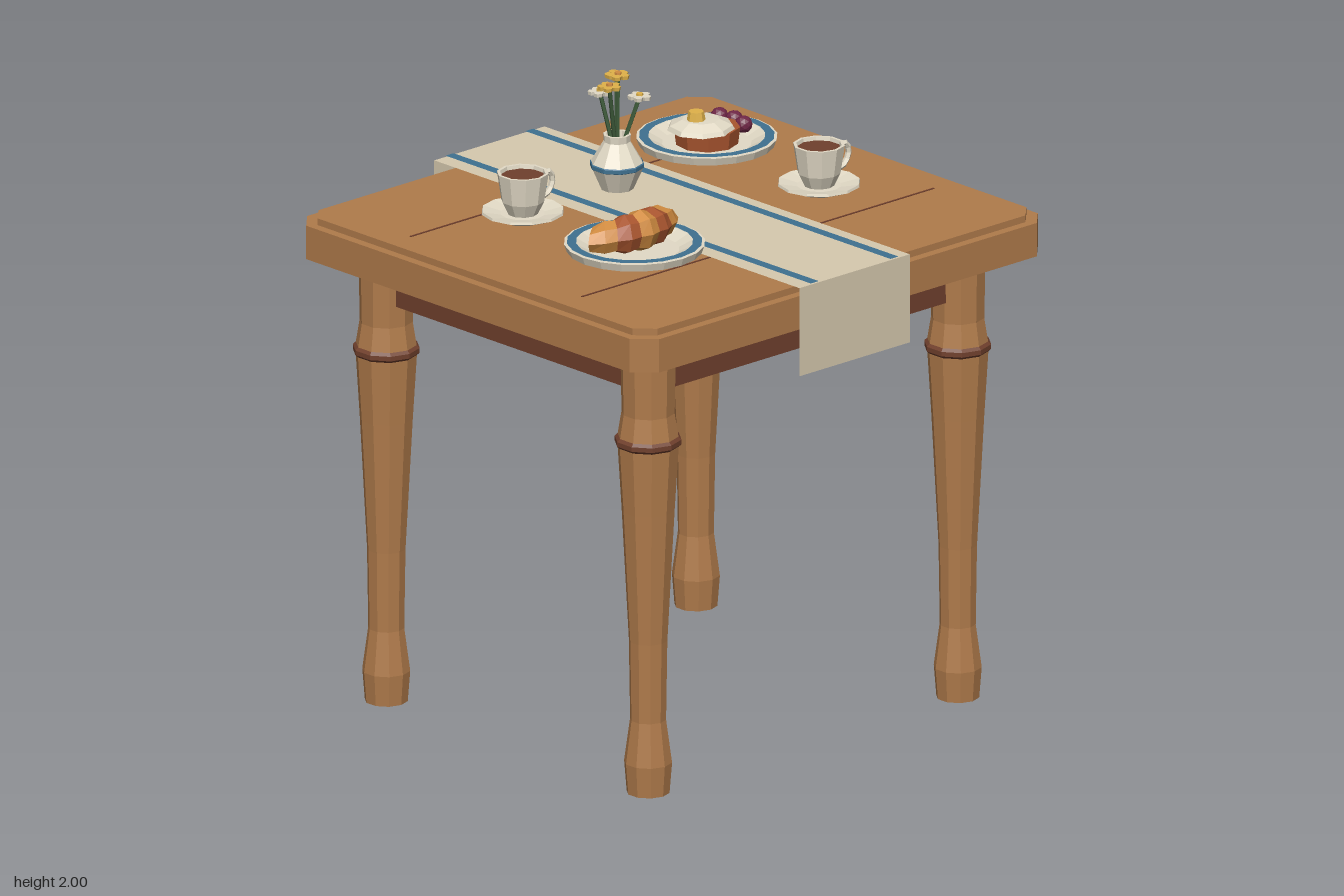
import * as THREE from 'three';

const mat = (name, color, extra = {}) => {
  const m = new THREE.MeshStandardMaterial({ color, ...extra });
  m.name = name;
  return m;
};

export function createModel() {
  const wood = mat('wood', 0xb07b4b);
  const darkWood = mat('darkWood', 0x70402d);
  const linen = mat('linen', 0xd6c9ae, { side: THREE.DoubleSide });
  const ceramic = mat('ceramic', 0xe2dac6);
  const blue = mat('blue', 0x3f7190, { side: THREE.DoubleSide });
  const gold = mat('goldenCrust', 0xd08b40);
  const rust = mat('bakedCrust', 0xa9552f);
  const berryRed = mat('berry', 0x6e2645);
  const green = mat('stemGreen', 0x3f5c3b);
  const yellow = mat('yellow', 0xe0b24a);

  const root = new THREE.Group();
  root.name = 'breakfastTable';

  // Faceted mesh at a position
  const add = (parent, name, geo, material, x = 0, y = 0, z = 0) => {
    const g = geo.index ? geo.toNonIndexed() : geo;
    g.computeVertexNormals();
    const m = new THREE.Mesh(g, material);
    m.name = name;
    m.position.set(x, y, z);
    parent.add(m);
    return m;
  };
  const group = (name, x, y, z) => {
    const g = new THREE.Group();
    g.name = name;
    g.position.set(x, y, z);
    root.add(g);
    return g;
  };
  const lathe = (pts, sides) =>
    new THREE.LatheGeometry(pts.map(([r, y]) => new THREE.Vector2(r, y)), sides);

  // Table top: two slabs with cut corners
  const slab = (w, d, c, h) => {
    const s = new THREE.Shape([[w, d - c], [w - c, d], [c - w, d], [-w, d - c],
      [-w, c - d], [c - w, -d], [w - c, -d], [w, c - d]].map(p => new THREE.Vector2(...p)));
    return new THREE.ExtrudeGeometry(s, { depth: h, bevelEnabled: false }).rotateX(-Math.PI / 2);
  };
  add(root, 'tableTop', slab(0.87, 0.8, 0.065, 0.11), wood, 0, 1.465, 0);
  add(root, 'tableTopInset', slab(0.84, 0.77, 0.055, 0.022), wood, 0, 1.575, 0);
  for (const z of [-0.39, 0.39])
    add(root, 'plankGroove', new THREE.BoxGeometry(1.5, 0.003, 0.006), darkWood, 0, 1.598, z);
  add(root, 'apron', new THREE.BoxGeometry(1.38, 0.15, 1.25), darkWood, 0, 1.395, 0);

  // Turned legs with a dark collar
  const legProfile = [[0, 0], [0.068, 0], [0.076, 0.1], [0.057, 0.24], [0.061, 0.5],
    [0.084, 0.93], [0.097, 1.14], [0.097, 1.17], [0.084, 1.25], [0.088, 1.45], [0, 1.45]];
  const collarProfile = [[0.09, 1.135], [0.106, 1.15], [0.106, 1.165], [0.09, 1.18]];
  for (const x of [-0.66, 0.66]) for (const z of [-0.595, 0.595]) {
    const leg = group('leg', x, 0, z);
    add(leg, 'legPost', lathe(legProfile, 10), wood);
    add(leg, 'legCollar', lathe(collarProfile, 10), darkWood);
  }

  // Table runner with hanging ends and two stripes
  const flat = (w, d) => new THREE.PlaneGeometry(w, d).rotateX(-Math.PI / 2);
  add(root, 'runner', flat(0.47, 1.66), linen, 0, 1.615, 0);
  for (const s of [-1, 1]) {
    const drop = new THREE.PlaneGeometry(0.47, 0.29);
    if (s < 0) drop.rotateY(Math.PI);
    add(root, 'runnerDrop', drop, linen, 0, 1.47, s * 0.83);
    add(root, 'runnerStripe', flat(0.034, 1.66), blue, s * 0.17, 1.619, 0);
  }

  // Plates with a blue rim
  const plate = (x, z) => {
    const p = group('plate', x, 1.625, z);
    add(p, 'plateDish', lathe([[0, 0], [0.13, 0], [0.212, 0.025], [0.221, 0.05],
      [0.183, 0.05], [0.14, 0.028], [0, 0.028]], 20), ceramic);
    add(p, 'plateRim', new THREE.RingGeometry(0.183, 0.212, 20).rotateX(-Math.PI / 2), blue, 0, 0.053, 0);
    return p;
  };

  // Croissant: bulging bands along a curved path
  const croissant = plate(-0.427, 0.285);
  for (let i = 0; i < 5; i++) {
    const g = new THREE.CylinderGeometry(1, 1, 1, 8, 2);
    const p = g.attributes.position;
    for (let k = 0; k < p.count; k++) {
      const t = p.getY(k);
      const u = (i - 2 + t) / 2.5;
      const bulge = 1 - 0.14 * Math.abs(t) * 2;
      const tilt = p.getZ(k) * u * 0.05;
      p.setXYZ(k, u * 0.142 + tilt,
        0.095 - 0.012 * u * u + p.getX(k) * (0.068 - 0.022 * u * u) * bulge,
        0.025 - 0.065 * u * u + p.getZ(k) * (0.062 - 0.022 * u * u) * bulge);
    }
    // the axis swap above mirrors the faces, so restore their order
    const ix = g.index;
    for (let k = 0; k < ix.count; k += 3) {
      const a = ix.getX(k);
      ix.setX(k, ix.getX(k + 1));
      ix.setX(k + 1, a);
    }
    add(croissant, 'croissantBand', g, i % 2 ? rust : gold);
  }

  // Iced cake with a knob on top and berries beside it
  const cake = plate(0.425, -0.295);
  add(cake, 'cakeBase', new THREE.CylinderGeometry(0.105, 0.098, 0.055, 9), rust, 0, 0.055, 0);
  add(cake, 'cakeIcing', lathe([[0, 0], [0.107, 0], [0.1, 0.014], [0.06, 0.032], [0, 0.034]], 9),
    ceramic, -0.025, 0.081, 0);
  add(cake, 'cakeKnob', new THREE.CylinderGeometry(0.024, 0.03, 0.032, 8), yellow, -0.045, 0.126, 0);
  for (const [x, z] of [[0.115, -0.065], [0.128, -0.012], [0.115, 0.045]])
    add(cake, 'berry', new THREE.IcosahedronGeometry(0.028, 1), berryRed, x, 0.072, z);

  // Cups of tea on saucers
  for (const [x, z] of [[-0.43, -0.22], [0.425, 0.215]]) {
    const c = group('teaCup', x, 1.625, z);
    add(c, 'saucer', lathe([[0, 0], [0.075, 0], [0.131, 0.022], [0.129, 0.03], [0.07, 0.018], [0, 0.018]], 12), ceramic);
    add(c, 'cup', lathe([[0, 0.018], [0.048, 0.018], [0.068, 0.06], [0.082, 0.152],
      [0.072, 0.152], [0.068, 0.13], [0, 0.13]], 10), ceramic);
    add(c, 'tea', new THREE.CircleGeometry(0.071, 10).rotateX(-Math.PI / 2).rotateY(Math.PI / 2), darkWood, 0, 0.14, 0);
    const handle = new THREE.CatmullRomCurve3([[0.07, 0.125], [0.112, 0.13], [0.127, 0.1],
      [0.108, 0.062], [0.066, 0.05]].map(([a, b]) => new THREE.Vector3(a, b, 0)));
    add(c, 'cupHandle', new THREE.TubeGeometry(handle, 8, 0.01, 5), ceramic);
  }

  // Vase with a blue band
  const vase = group('vase', 0, 1.616, -0.25);
  add(vase, 'vaseBody', lathe([[0, 0], [0.052, 0], [0.083, 0.07], [0.083, 0.085], [0.042, 0.155],
    [0.044, 0.178], [0.034, 0.178], [0.03, 0.14], [0, 0.14]], 10), ceramic);
  add(vase, 'vaseBand', lathe([[0.083, 0.07], [0.086, 0.072], [0.086, 0.084], [0.083, 0.087]], 10), blue);

  // Flowers: stem, five petals and a centre
  const flowers = [[0.05, 0.345, -0.055, yellow, gold], [-0.04, 0.315, -0.035, ceramic, yellow],
    [-0.065, 0.355, 0.035, yellow, gold], [-0.005, 0.372, 0.01, yellow, gold], [0.05, 0.3, 0.05, ceramic, yellow]];
  for (const [x, y, z, petal, heart] of flowers) {
    const stem = new THREE.LineCurve3(new THREE.Vector3(x * 0.2, 0.13, z * 0.2), new THREE.Vector3(x, y, z));
    add(vase, 'stem', new THREE.TubeGeometry(stem, 1, 0.007, 5), green);
    for (let i = 0; i < 5; i++) {
      const a = i * Math.PI * 0.4;
      add(vase, 'petal', new THREE.CylinderGeometry(0.016, 0.014, 0.012, 6), petal,
        x + Math.cos(a) * 0.023, y, z + Math.sin(a) * 0.023);
    }
    add(vase, 'flowerCentre', new THREE.CylinderGeometry(0.011, 0.013, 0.02, 6), heart, x, y + 0.003, z);
  }
  return root;
}
